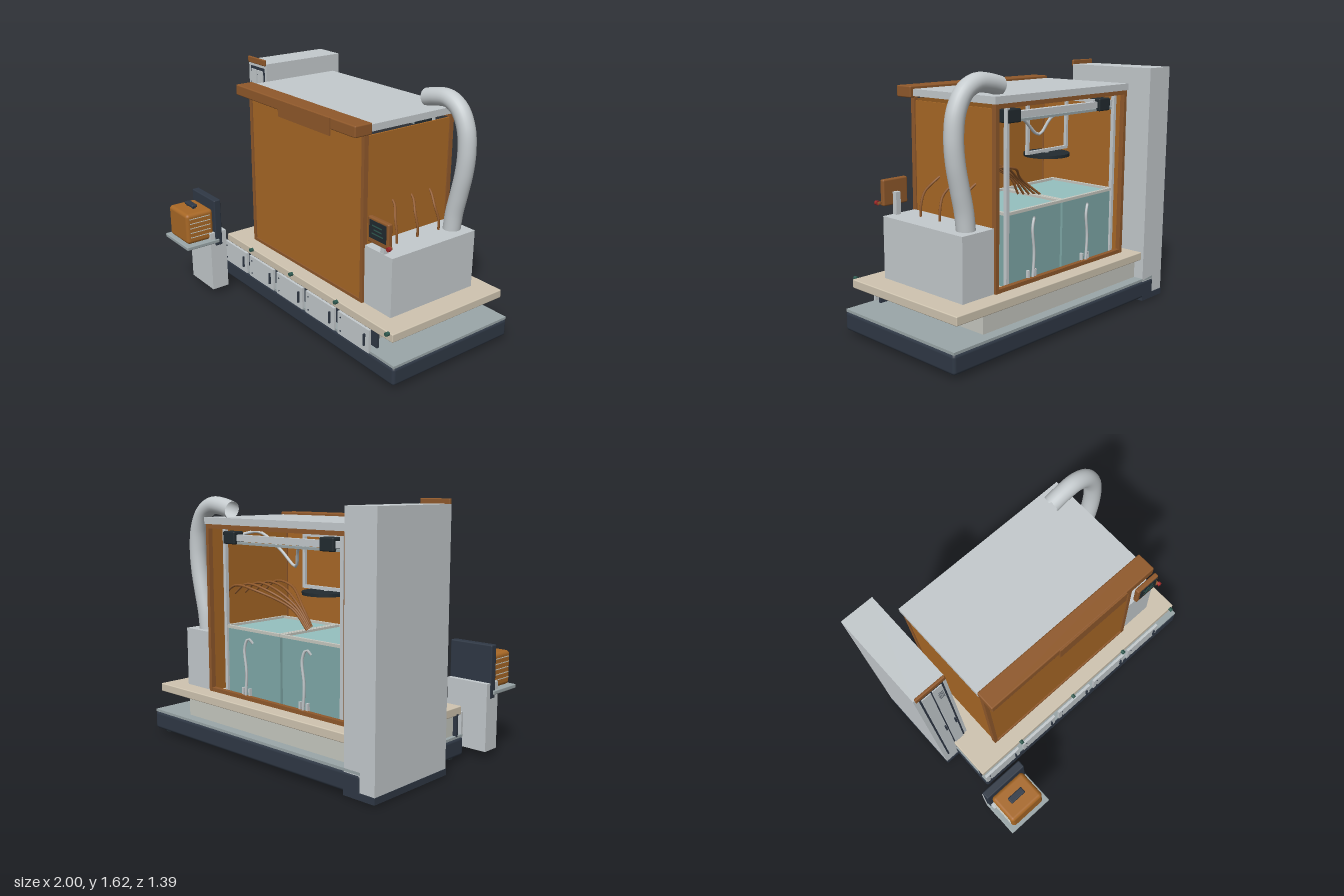
import * as THREE from 'three';
import { RoundedBoxGeometry } from 'three/addons/geometries/RoundedBoxGeometry.js';

const mat = (color, extra = {}) => new THREE.MeshStandardMaterial({ color, ...extra });
const light = mat(0xc4cacd), steel = mat(0x9aa6a8), dark = mat(0x2f3845), black = mat(0x222b30);
const amber = mat(0xa86826), brown = mat(0x90592b), beige = mat(0xcfc4b0), bone = mat(0xc6c8c0);
const teal = mat(0x7fa9a8), liquid = mat(0x95c0bf), green = mat(0x2f5a50), red = mat(0xa02828);
const ductMat = mat(0xc4cacd, { side: THREE.DoubleSide });

export function createModel() {
  const model = new THREE.Group();
  const group = (name) => {
    const g = new THREE.Group();
    g.name = name;
    model.add(g);
    return g;
  };
  const add = (parent, name, geo, m) => {
    const mesh = new THREE.Mesh(geo, m);
    mesh.name = name;
    parent.add(mesh);
    return mesh;
  };
  // Box given by its extents; r rounds the edges
  const box = (parent, name, m, x0, x1, y0, y1, z0, z1, r = 0) => {
    const s = [x1 - x0, y1 - y0, z1 - z0];
    const geo = r ? new RoundedBoxGeometry(...s, 3, r) : new THREE.BoxGeometry(...s);
    const mesh = add(parent, name, geo, m);
    mesh.position.set((x0 + x1) / 2, (y0 + y1) / 2, (z0 + z1) / 2);
    return mesh;
  };
  const tube = (parent, name, m, pts, r, seg = 24, sides = 8) => {
    const curve = new THREE.CatmullRomCurve3(pts.map((p) => new THREE.Vector3(...p)));
    return add(parent, name, new THREE.TubeGeometry(curve, seg, r, sides), m);
  };
  const disc = (parent, name, m, r, h, x, y, z, facingFront = false) => {
    const mesh = add(parent, name, new THREE.CylinderGeometry(r, r, h, 24), m);
    mesh.position.set(x, y, z);
    if (facingFront) mesh.rotation.x = Math.PI / 2;
    return mesh;
  };

  // Base slab, underside plate and feet
  const base = group('base');
  box(base, 'baseSlab', dark, -0.89, 0.995, 0.03, 0.15, -0.695, 0.28, 0.02);
  box(base, 'baseTop', steel, -0.885, 0.99, 0.148, 0.165, -0.69, 0.275);
  box(base, 'undersidePlate', bone, -0.8, 0.7, 0.012, 0.035, -0.53, 0.17);
  for (const x of [-0.72, 0.62]) for (const z of [-0.46, 0.1]) disc(base, 'plateFoot', black, 0.024, 0.015, x, 0.0075, z);
  for (const x of [-0.82, 0.92]) for (const z of [-0.62, 0.21]) disc(base, 'cornerFoot', black, 0.035, 0.03, x, 0.025, z);

  // Cabinet with worktop and a row of doors
  const cabinet = group('cabinet');
  box(cabinet, 'cabinetBody', bone, -0.86, 0.7, 0.16, 0.3, -0.62, 0.205);
  box(cabinet, 'worktop', beige, -0.885, 0.95, 0.295, 0.35, -0.67, 0.255, 0.006);
  for (let i = 0; i < 5; i++) {
    const x = -0.88 + i * 0.338;
    box(cabinet, 'doorBack', dark, x - 0.006, x + 0.306, 0.16, 0.305, 0.205, 0.222);
    box(cabinet, 'door', light, x, x + 0.3, 0.15, 0.307, 0.265, 0.283);
    box(cabinet, 'doorHandle', dark, x + 0.258, x + 0.268, 0.19, 0.27, 0.283, 0.295);
    for (const y of [0.18, 0.275]) disc(cabinet, 'doorScrew', dark, 0.005, 0.006, x + 0.03, y, 0.284, true);
  }
  for (let i = 0; i < 4; i++) disc(cabinet, 'worktopKnob', green, 0.013, 0.025, -0.54 + i * 0.485, 0.345, 0.267, true);

  // Amber enclosure, open at the back
  const enclosure = group('enclosure');
  box(enclosure, 'frontPanel', amber, -0.665, 0.525, 0.37, 1.43, 0.13, 0.142);
  box(enclosure, 'frontSill', brown, -0.68, 0.545, 0.35, 0.37, 0.125, 0.152);
  for (const s of [-1, 1]) {
    const c = -0.0675 + s * 0.6;
    box(enclosure, 'sidePanel', amber, c - 0.006, c + 0.006, 0.35, 1.42, -0.56, 0.13);
    for (const z of [0.135, -0.555]) box(enclosure, 'cornerPost', brown, c - 0.013, c + 0.013, 0.35, 1.45, z - 0.016, z + 0.016);
  }
  box(enclosure, 'backSill', brown, -0.68, 0.545, 0.35, 0.375, -0.57, -0.54);
  box(enclosure, 'backLintel', brown, -0.68, 0.545, 1.42, 1.45, -0.57, -0.54);
  box(enclosure, 'roof', light, -0.69, 0.555, 1.447, 1.49, -0.575, 0.13);
  box(enclosure, 'header', brown, -0.69, 0.577, 1.437, 1.508, 0.12, 0.248, 0.008);
  box(enclosure, 'headerPlate', brown, -0.18, 0.35, 1.4, 1.507, 0.248, 0.257);

  // Two open tanks with rims, liquid and drain hoses
  const tanks = group('tanks');
  for (const [x0, x1] of [[-0.6, -0.105], [-0.085, 0.41]]) {
    box(tanks, 'tankBody', teal, x0, x1, 0.35, 0.785, -0.52, -0.02);
    box(tanks, 'liquidSurface', liquid, x0 + 0.02, x1 - 0.02, 0.78, 0.79, -0.5, -0.04);
    for (const z of [-0.53, -0.03]) box(tanks, 'tankRim', bone, x0 - 0.008, x1 + 0.008, 0.785, 0.803, z, z + 0.02);
    for (const x of [x0 - 0.008, x1 - 0.012]) box(tanks, 'tankRim', bone, x, x + 0.02, 0.785, 0.803, -0.53, -0.01);
    const m = x0 + 0.29;
    tube(tanks, 'drainHose', light, [[m - 0.04, 0.71, -0.52], [m - 0.02, 0.74, -0.54], [m + 0.005, 0.68, -0.55], [m - 0.01, 0.53, -0.55], [m, 0.36, -0.55]], 0.009);
    for (const d of [-0.03, 0.03]) box(tanks, 'drainFitting', light, m + d - 0.007, m + d + 0.007, 0.35, 0.42, -0.55, -0.53);
  }

  // Gantry carrying a hanging frame and a round plate
  const gantry = group('gantry');
  for (const x of [-0.605, 0.41]) box(gantry, 'gantryPost', light, x - 0.012, x + 0.012, 0.35, 1.44, -0.535, -0.511);
  box(gantry, 'gantryRail', light, -0.6, 0.41, 1.345, 1.385, -0.52, -0.48);
  box(gantry, 'railEdge', steel, -0.6, 0.41, 1.325, 1.34, -0.515, -0.485);
  for (const x of [-0.49, 0.36]) box(gantry, 'carriage', black, x - 0.055, x + 0.055, 1.325, 1.405, -0.54, -0.46, 0.008);
  for (const x of [-0.43, -0.05]) box(gantry, 'hangerUpright', light, x - 0.01, x + 0.01, 1.07, 1.4, -0.28, -0.26);
  for (const y of [1.07, 1.39]) box(gantry, 'hangerBar', light, -0.44, -0.04, y - 0.01, y + 0.01, -0.28, -0.26);
  box(gantry, 'hangerArm', light, -0.44, -0.42, 1.38, 1.4, -0.5, -0.27);
  box(gantry, 'plateStem', light, -0.245, -0.225, 1.05, 1.08, -0.28, -0.26);
  disc(gantry, 'roundPlate', black, 0.15, 0.02, -0.235, 1.045, -0.27);
  tube(gantry, 'cableLoop', light, [[0.36, 1.38, -0.44], [0.25, 1.4, -0.38], [0.08, 1.3, -0.36], [-0.06, 1.2, -0.36], [-0.12, 1.3, -0.4], [-0.2, 1.37, -0.46]], 0.01);

  // Supply hoses: from the service box through the wall to the tanks
  const hoses = group('supplyHoses');
  [[-0.4, -0.385], [-0.245, -0.205], [-0.09, -0.035]].forEach(([zw, zb]) => {
    const zm = (zw + zb) / 2 + 0.02;
    tube(hoses, 'outerHose', brown, [[0.53, 0.98, zw], [0.565, 0.955, zw + 0.01], [0.615, 0.89, zm], [0.64, 0.81, zb], [0.645, 0.73, zb]], 0.008);
  });
  for (let i = 0; i < 5; i++) {
    const z = -0.44 + i * 0.09;
    tube(hoses, 'innerHose', brown, [[0.53, 0.98, z], [0.42, 1.05, z], [0.24, 1.03, z * 0.9 - 0.03], [0.04, 0.92, -0.3 + i * 0.025], [-0.12 + i * 0.02, 0.8, -0.32 + i * 0.03]], 0.008);
  }

  // Service box with exhaust duct
  const service = group('serviceBox');
  box(service, 'serviceBody', light, 0.545, 0.795, 0.35, 0.74, -0.555, 0.135);
  const duct = [[0.68, 0.73], [0.695, 0.85], [0.725, 0.98], [0.757, 1.13], [0.768, 1.27], [0.75, 1.41], [0.69, 1.515], [0.6, 1.562], [0.5, 1.556], [0.41, 1.535]];
  tube(service, 'exhaustDuct', ductMat, duct.map(([x, y]) => [x, y, -0.465]), 0.057, 40, 24);

  // Control screen on a short post
  const control = group('controlScreen');
  box(control, 'screenPost', light, 0.685, 0.72, 0.74, 0.88, 0.1, 0.133);
  box(control, 'screenHousing', brown, 0.602, 0.79, 0.797, 0.96, 0.132, 0.166, 0.01);
  box(control, 'screen', black, 0.625, 0.772, 0.832, 0.945, 0.166, 0.171);
  [[0.65, 0.75], [0.665, 0.735], [0.65, 0.74]].forEach(([a, b], i) =>
    box(control, 'screenLine', green, a, b, 0.862 + i * 0.025, 0.868 + i * 0.025, 0.171, 0.173));
  disc(control, 'stopButton', red, 0.014, 0.02, 0.807, 0.817, 0.176, true);
  box(control, 'buttonBracket', brown, 0.785, 0.81, 0.81, 0.824, 0.15, 0.17);

  // Tall electrical tower
  const tower = group('tower');
  box(tower, 'towerPlinth', dark, -0.992, -0.765, 0.01, 0.05, -0.695, -0.045);
  box(tower, 'towerBody', light, -0.99, -0.767, 0.05, 1.59, -0.69, -0.05);
  box(tower, 'towerCap', brown, -0.98, -0.77, 1.577, 1.62, -0.052, -0.034, 0.006);
  box(tower, 'doorSurround', dark, -0.96, -0.79, 0.2, 1.555, -0.052, -0.046);
  for (const [a, b] of [[-0.948, -0.882], [-0.872, -0.804]]) {
    box(tower, 'towerDoor', light, a, b, 0.21, 1.535, -0.05, -0.04);
    box(tower, 'towerDoorHandle', dark, b - 0.014, b - 0.004, 0.76, 0.85, -0.04, -0.03);
  }
  for (let i = 0; i < 6; i++) box(tower, 'ventSlot', dark, -0.845, -0.81, 1.34 + i * 0.02, 1.344 + i * 0.02, -0.041, -0.039);

  // Separate pedestal with tray and a small amber unit
  const station = group('sideStation');
  box(station, 'pedestal', light, -0.985, -0.69, 0.045, 0.48, 0.38, 0.505);
  box(station, 'backPlate', dark, -0.99, -0.682, 0.38, 0.72, 0.415, 0.468, 0.008);
  box(station, 'tray', steel, -1, -0.676, 0.403, 0.43, 0.44, 0.695, 0.006);
  box(station, 'unitBody', amber, -0.967, -0.707, 0.43, 0.652, 0.465, 0.673, 0.025);
  box(station, 'unitHandle', dark, -0.893, -0.78, 0.662, 0.683, 0.543, 0.587, 0.008);
  for (const x of [-0.875, -0.8]) box(station, 'handleFoot', dark, x - 0.008, x + 0.008, 0.645, 0.67, 0.555, 0.575);
  for (const x of [-0.968, -0.706])
    for (let i = 0; i < 5; i++) box(station, 'unitVent', bone, x - 0.002, x + 0.002, 0.478 + i * 0.034, 0.483 + i * 0.034, 0.49, 0.65);

  return model;
}
